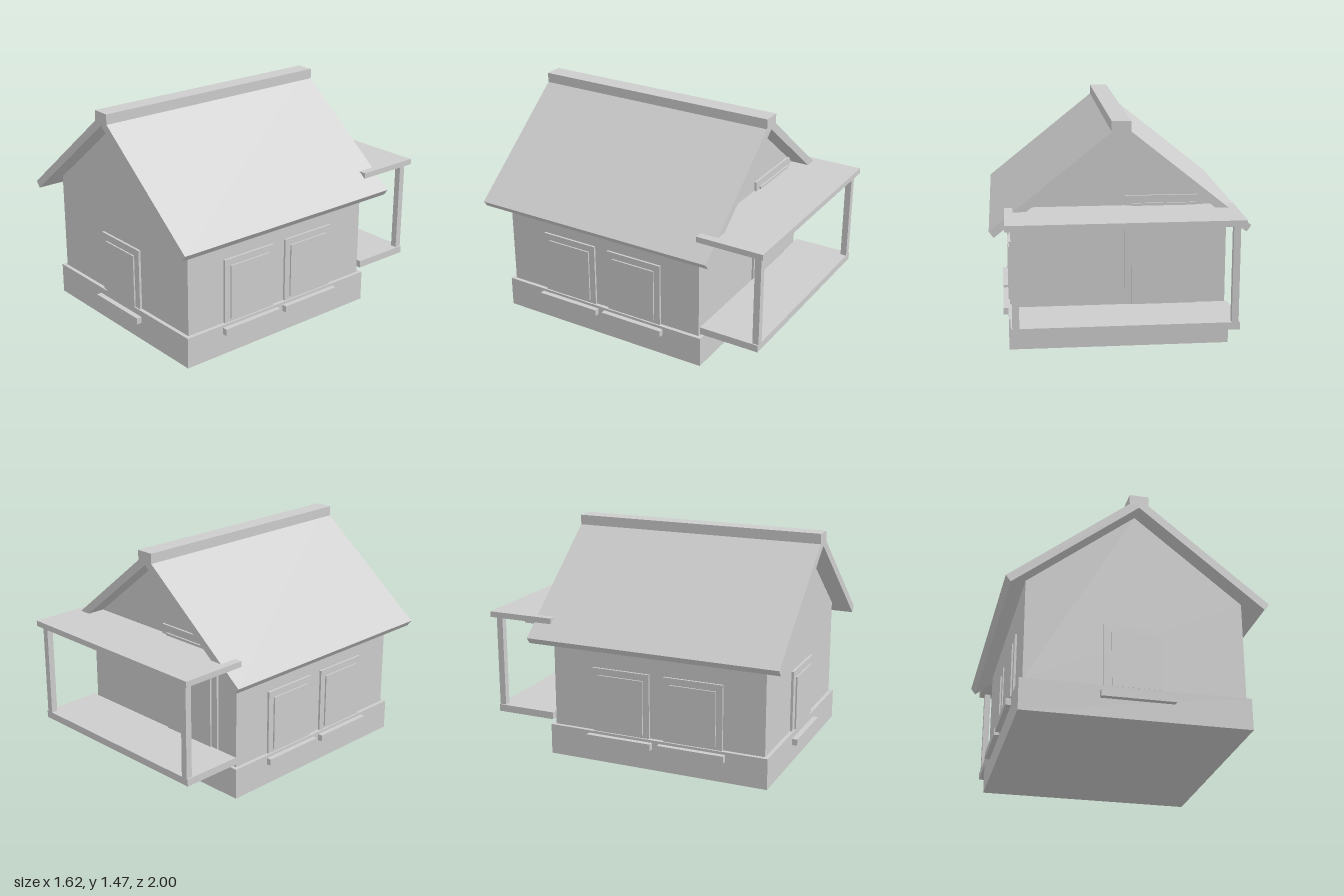
import * as THREE from 'three';

export function createModel() {
  const house = new THREE.Group();
  house.name = 'house';
  const grey = new THREE.MeshStandardMaterial({ color: 0xcccccc });
  grey.name = 'plain grey';

  const add = (name, geometry) => {
    const mesh = new THREE.Mesh(geometry, grey);
    mesh.name = name;
    house.add(mesh);
    return mesh;
  };
  // Box given by its limits on each axis
  const box = (name, x0, x1, y0, y1, z0, z1) => {
    const mesh = add(name, new THREE.BoxGeometry(x1 - x0, y1 - y0, z1 - z0));
    mesh.position.set((x0 + x1) / 2, (y0 + y1) / 2, (z0 + z1) / 2);
    return mesh;
  };
  const polygon = (points) => new THREE.Shape(points.map(([x, y]) => new THREE.Vector2(x, y)));
  // Outline in x and y, extruded from z0 to z1
  const prism = (name, points, z0, z1) => {
    const geometry = new THREE.ExtrudeGeometry(polygon(points), { depth: z1 - z0, bevelEnabled: false });
    return add(name, geometry.translate(0, 0, z0));
  };

  // Plinth and gabled walls
  box('plinth', -0.7, 0.7, 0, 0.2, -0.58, 0.905);
  prism('walls', [[-0.675, 0.2], [0.675, 0.2], [0.675, 0.843], [0, 1.38], [-0.675, 0.843]], -0.555, 0.88);

  // Roof slopes and ridge cap
  prism('roof', [[0, 1.38], [0.78, 0.76], [0.81, 0.8], [0, 1.448], [-0.81, 0.8], [-0.78, 0.76]], -0.675, 1);
  box('ridgeCap', -0.06, 0.06, 1.4, 1.465, -0.675, 1);

  // Front door with its frame (open at the bottom) and step
  const doorFrame = (name, x0, x1, top, w, z0, z1) => prism(name, [
    [x0, 0.2], [x0 + w, 0.2], [x0 + w, top - w], [x1 - w, top - w],
    [x1 - w, 0.2], [x1, 0.2], [x1, top], [x0, top],
  ], z0, z1);
  doorFrame('frontDoorFrame', -0.2, 0.2, 0.6, 0.047, 0.88, 0.896);
  box('frontDoor', -0.153, 0.153, 0.2, 0.553, 0.88, 0.906);
  box('frontStep', -0.225, 0.225, 0.118, 0.16, 0.905, 0.94);

  // Back door and the small hood over it
  doorFrame('backDoorFrame', -0.52, -0.03, 0.98, 0.047, -0.569, -0.555);
  box('backDoor', -0.473, -0.077, 0.2, 0.933, -0.58, -0.555);
  box('doorHood', -0.59, 0.04, 0.83, 0.88, -0.82, -0.555);

  // Two windows with frame, pane and sill on each side wall
  for (const side of [-1, 1]) {
    const plate = (name, inner, outer, y0, y1, z, half) => {
      const [x0, x1] = side > 0 ? [inner, outer] : [-outer, -inner];
      box(name, x0, x1, y0, y1, z - half, z + half);
    };
    for (const z of [0.41, -0.082]) {
      plate('windowFrame', 0.675, 0.689, 0.2, 0.622, z, 0.197);
      plate('windowPane', 0.675, 0.699, 0.223, 0.578, z, 0.155);
      plate('windowSill', 0.7, 0.733, 0.14, 0.183, z, 0.222);
    }
  }

  // Back porch: floor, posts and flat canopy
  box('porchFloor', -0.69, 0.69, 0.23, 0.277, -0.975, -0.572);
  for (const x of [-0.66, 0.66]) box('porchPost', x - 0.021, x + 0.021, 0.277, 0.88, -0.975, -0.933);
  box('porchCanopy', -0.715, 0.715, 0.88, 0.917, -1, -0.555);

  return house;
}
